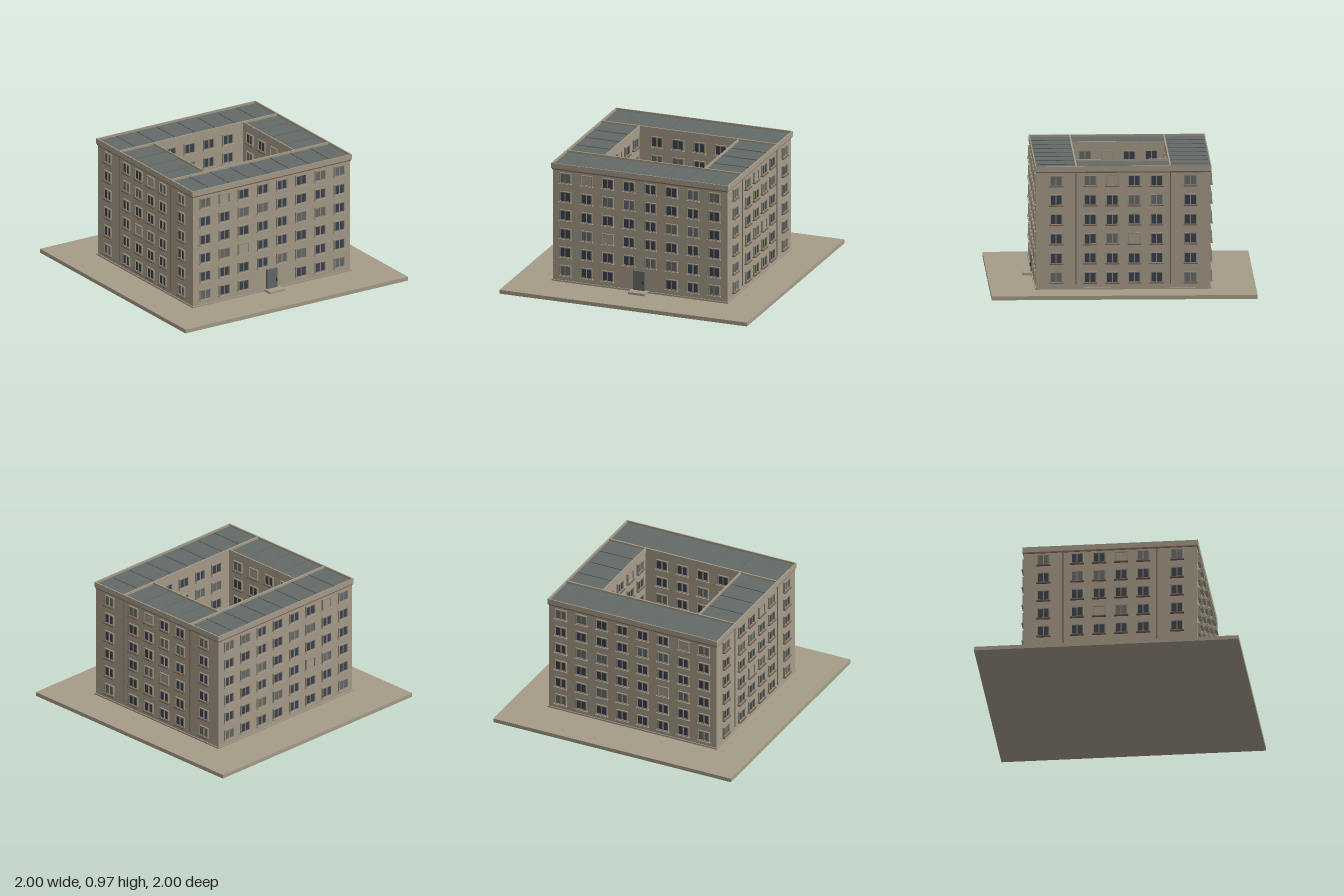
import * as THREE from 'three';
import { mergeGeometries } from 'three/addons/utils/BufferGeometryUtils.js';

const mat = (name, color) => {
  const m = new THREE.MeshStandardMaterial({ color });
  m.name = name;
  return m;
};
const M = {
  wall: mat('wall plaster', 0xa59b88),
  slate: mat('slate grey', 0x646a68),
  glass: mat('dark glass', 0x3a414c),
  frame: mat('window frame', 0x958d7d),
  brown: mat('rust brown', 0x7a5c50),
  dark: mat('dark metal', 0x33383c),
};

// Main dimensions
const W = 0.705, D = 0.655, CX = 0.4, CZ = 0.35, BASE = 0.03, ROOF = 0.95, TOP = 0.97;

const boxGeo = (w, h, d, x, y, z) => new THREE.BoxGeometry(w, h, d).translate(x, y, z);

function add(parent, name, geo, material) {
  const mesh = new THREE.Mesh(Array.isArray(geo) ? mergeGeometries(geo) : geo, material);
  mesh.name = name;
  parent.add(mesh);
  return mesh;
}

// Rectangular ring between an outer and an inner rectangle, standing on y0
function ringGeo(ox, oz, ix, iz, y0, y1) {
  const rect = (T, x, z) => new T([[-x, -z], [x, -z], [x, z], [-x, z]].map(p => new THREE.Vector2(...p)));
  const shape = rect(THREE.Shape, ox, oz);
  shape.holes.push(rect(THREE.Path, ix, iz));
  return new THREE.ExtrudeGeometry(shape, { depth: y1 - y0, bevelEnabled: false })
    .rotateX(-Math.PI / 2).translate(0, y0, 0);
}

// Column and row of the windows with drawn curtains (C) or a closed panel (P)
const LONG = ['C......C', '....CC..', '.CP.....', '.....CC.', '..CC....', 'CP....CC'];
const SHORT = ['C....C', '......', '..CP..', '......', '...CC.', 'CCP..C'];

// One facade of windows; local +z points outwards, dist is the wall plane
function facade(parent, name, angle, dist, columns, pattern, sillMaterial, skip = () => false) {
  const parts = { frames: [], sills: [], glass: [], curtains: [], panels: [] };
  const w = 0.094, h = 0.084, bar = 0.007;
  columns.forEach((x, c) => {
    for (let r = 0; r < 6; r++) {
      if (skip(c, r)) continue;
      const y = 0.122 + r * 0.1475;
      const kind = pattern[r][c];
      const put = (list, bw, bh, bd, dx, dy) =>
        parts[list].push(boxGeo(bw, bh, bd, x + dx, y + dy, dist + bd / 2));
      for (const s of [-1, 1]) {
        put('frames', bar, h, 0.014, s * (w - bar) / 2, 0);
        put('frames', w - 2 * bar, bar, 0.014, 0, s * (h - bar) / 2);
      }
      if (kind !== 'P') put('frames', bar, h - 2 * bar, 0.012, 0, 0);
      const list = kind === 'P' ? 'panels' : kind === 'C' ? 'curtains' : 'glass';
      put(list, w - 2 * bar, h - 2 * bar, 0.006, 0, 0);
      put('sills', w + 0.012, 0.007, 0.022, 0, -h / 2 - 0.002);
    }
  });
  const g = new THREE.Group();
  g.name = name;
  g.rotation.y = angle;
  const mats = { frames: M.frame, sills: sillMaterial, glass: M.glass, curtains: M.slate, panels: M.wall };
  for (const key in parts) if (parts[key].length) add(g, key, parts[key], mats[key]);
  parent.add(g);
}

const mirror = p => p.map(row => [...row].reverse().join(''));
const middle = p => p.map(row => row.slice((row.length - 4) / 2, (row.length + 4) / 2));

export function createModel() {
  const model = new THREE.Group();
  model.name = 'courtyardApartmentBlock';

  // Ground and walls
  add(model, 'ground', boxGeo(2, BASE, 2, 0, BASE / 2, 0), M.wall);
  add(model, 'walls', ringGeo(W, D, CX, CZ, BASE, ROOF - 0.006), M.wall);
  add(model, 'plinth', ringGeo(W + 0.007, D + 0.007, W - 0.01, D - 0.01, BASE, 0.042), M.wall);
  add(model, 'corniceBand', ringGeo(W + 0.004, D + 0.004, W - 0.01, D - 0.01, 0.918, 0.932), M.brown);

  // Parapets around the four wings
  add(model, 'outerParapet', ringGeo(W + 0.01, D + 0.008, W, D, 0.928, TOP), M.wall);
  add(model, 'innerParapet', [
    ...[-1, 1].map(s => boxGeo(2 * W, 0.045, 0.012, 0, TOP - 0.0225, s * (CZ + 0.004))),
    ...[-1, 1].map(s => boxGeo(0.01, 0.045, 2 * CZ, s * (CX + 0.001), TOP - 0.0225, 0)),
  ], M.wall);

  // Roof sheets with raised seams
  const roof = [], midX = (W + CX) / 2, midZ = (D + CZ) / 2;
  for (const s of [-1, 1]) {
    roof.push(boxGeo(2 * W, 0.01, D - CZ, 0, ROOF - 0.002, s * midZ));
    roof.push(boxGeo(W - CX, 0.01, 2 * CZ, s * midX, ROOF - 0.002, 0));
    for (let i = -3; i <= 3; i++) roof.push(boxGeo(0.006, 0.006, D - CZ - 0.02, i * 0.18, ROOF + 0.005, s * midZ));
    for (let i = -1; i <= 1; i++) roof.push(boxGeo(W - CX - 0.02, 0.006, 0.006, s * midX, ROOF + 0.005, i * 0.18));
  }
  add(model, 'roofSheets', roof, M.slate);

  // Windows on the street side
  const eight = [...Array(8)].map((_, i) => (i - 3.5) * 0.172);
  const six = [-0.505, -0.25, -0.083, 0.083, 0.25, 0.505];
  const doorway = (c, r) => r === 0 && (c === 3 || c === 4);
  facade(model, 'frontWindows', 0, D, eight, LONG, M.wall, doorway);
  facade(model, 'backWindows', Math.PI, D, eight, mirror(LONG), M.wall);
  facade(model, 'leftWindows', Math.PI / 2, W, six, SHORT, M.brown);
  facade(model, 'rightWindows', -Math.PI / 2, W, six, mirror(SHORT), M.brown);

  // Windows on the courtyard side
  const fourX = eight.slice(2, 6), fourZ = six.slice(1, 5);
  facade(model, 'courtBackWindows', 0, -CZ, fourX, middle(LONG), M.wall);
  facade(model, 'courtFrontWindows', Math.PI, -CZ, fourX, mirror(middle(LONG)), M.wall);
  facade(model, 'courtRightWindows', Math.PI / 2, -CX, fourZ, middle(SHORT), M.brown);
  facade(model, 'courtLeftWindows', -Math.PI / 2, -CX, fourZ, mirror(middle(SHORT)), M.brown);

  // Drainpipes on both side walls
  const pipes = [];
  for (const sx of [-1, 1]) for (const sz of [-1, 1])
    pipes.push(new THREE.CylinderGeometry(0.004, 0.004, 0.855, 8).translate(sx * (W + 0.003), 0.4975, sz * 0.355));
  add(model, 'drainpipes', pipes, M.brown);

  // Entrance
  const entrance = new THREE.Group();
  entrance.name = 'entrance';
  add(entrance, 'doorStep', boxGeo(0.135, 0.017, 0.08, 0, BASE + 0.0085, D + 0.04), M.wall);
  add(entrance, 'door', boxGeo(0.094, 0.155, 0.016, -0.003, 0.1225, D + 0.008), M.slate);
  add(entrance, 'doorHandle', boxGeo(0.007, 0.026, 0.012, 0.03, 0.11, D + 0.022), M.dark);
  model.add(entrance);

  // Bench in the courtyard
  const bench = new THREE.Group();
  bench.name = 'bench';
  add(bench, 'slats', [-0.14, -0.11, -0.08].map(z => boxGeo(0.165, 0.008, 0.02, 0.2, 0.072, z)), M.brown);
  add(bench, 'legs', [0.145, 0.255].map(x => boxGeo(0.012, 0.038, 0.075, x, 0.049, -0.11)), M.brown);
  model.add(bench);

  // Heap of rounded lumps in the middle: x, y, z, radius, material
  const heap = new THREE.Group();
  heap.name = 'heap';
  [
    [-0.11, 0.065, 0.0, 0.05, 'dark'], [-0.09, 0.07, -0.045, 0.048, 'slate'],
    [-0.04, 0.08, -0.065, 0.05, 'brown'], [0.02, 0.07, -0.05, 0.05, 'slate'],
    [0.07, 0.065, -0.035, 0.05, 'brown'], [0.085, 0.06, 0.03, 0.045, 'dark'],
    [0.03, 0.065, 0.07, 0.052, 'slate'], [-0.03, 0.075, 0.07, 0.055, 'frame'],
    [-0.05, 0.1, 0.0, 0.055, 'brown'], [0.03, 0.105, 0.0, 0.055, 'dark'],
    [-0.02, 0.12, -0.04, 0.045, 'frame'], [0.0, 0.11, 0.035, 0.05, 'slate'],
  ].forEach(([x, y, z, r, m], i) => {
    const lump = add(heap, 'lump', new THREE.SphereGeometry(r, 14, 10), M[m]);
    lump.position.set(x, y, z);
    lump.scale.set(1, 0.85, 0.9);
    lump.rotation.y = i * 0.7;
  });
  model.add(heap);

  return model;
}
